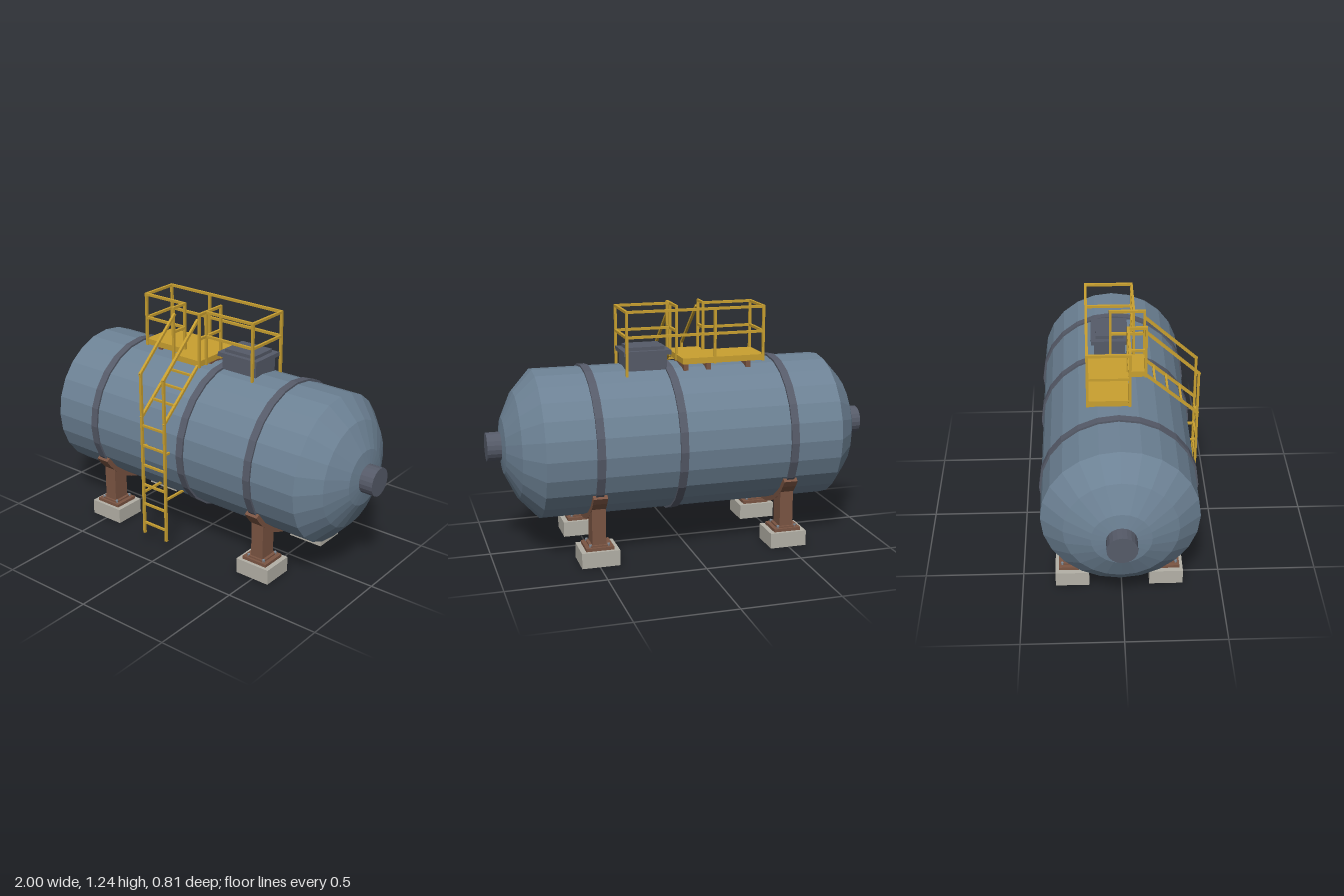
import * as THREE from 'three';

const mat = (name, color) => {
  const m = new THREE.MeshStandardMaterial({ color, flatShading: true });
  m.name = name;
  return m;
};

export function createModel() {
  const steel = mat('blueSteel', 0x6d8295);
  const slate = mat('darkSlate', 0x565b69);
  const yellow = mat('safetyYellow', 0xc9a030);
  const brown = mat('rustBrown', 0x7b5543);
  const concrete = mat('concrete', 0xb4b1a7);
  const bolt = mat('boltSteel', 0x7f8a96);

  const root = new THREE.Group();
  const CY = 0.572, CZ = -0.012, R = 0.377, SIDES = 24;

  const group = (name) => {
    const g = new THREE.Group();
    g.name = name;
    root.add(g);
    return g;
  };
  const add = (parent, name, geo, m) => {
    const mesh = new THREE.Mesh(geo, m);
    mesh.name = name;
    parent.add(mesh);
    return mesh;
  };
  // Box given by its min and max corners
  const block = (parent, name, m, [x0, y0, z0], [x1, y1, z1]) => {
    const b = add(parent, name, new THREE.BoxGeometry(x1 - x0, y1 - y0, z1 - z0), m);
    b.position.set((x0 + x1) / 2, (y0 + y1) / 2, (z0 + z1) / 2);
    return b;
  };
  // Square bar between two points
  const bar = (parent, name, a, b, t = 0.013) => {
    const p = new THREE.Vector3(...a), q = new THREE.Vector3(...b);
    const m = add(parent, name, new THREE.BoxGeometry(t, t, p.distanceTo(q) + t), yellow);
    m.position.copy(p).add(q).multiplyScalar(0.5);
    m.lookAt(q);
    return m;
  };
  // Turned shape lying along the x axis of the tank; profile is [radius, x]
  const turned = (parent, name, profile, m, sides = SIDES) => {
    const geo = new THREE.LatheGeometry(profile.map(([r, x]) => new THREE.Vector2(r, x)), sides);
    geo.rotateZ(-Math.PI / 2);
    const mesh = add(parent, name, geo, m);
    mesh.position.set(0, CY, CZ);
    return mesh;
  };

  // Tank shell with shallow spherical ends
  const tank = group('tank');
  const capR = 0.485, capA = Math.asin(R / capR), cap = [];
  for (let i = 0; i <= 3; i++) {
    const a = (capA * i) / 3;
    cap.push([capR * Math.sin(a), 0.94 - capR + capR * Math.cos(a)]);
  }
  turned(tank, 'shell', [...cap.map(([r, x]) => [r, -x]), ...cap.slice().reverse()], steel);

  // End nozzles
  for (const s of [-1, 1]) {
    const n = add(tank, 'endNozzle', new THREE.CylinderGeometry(0.072, 0.072, 0.09, 20), slate);
    n.rotation.z = Math.PI / 2;
    n.position.set(s * 0.955, CY, CZ);
  }

  // Hoop bands
  for (const x of [-0.5, 0.08, 0.495]) {
    turned(tank, 'band', [[0.37, x - 0.02], [0.387, x - 0.02], [0.387, x + 0.02], [0.37, x + 0.02]], slate);
  }

  // Saddles, legs and footings
  const supports = group('supports');
  for (const x of [-0.498, 0.494]) {
    const arc = new THREE.Shape();
    const half = 1.01, mid = -Math.PI / 2;
    arc.absarc(0, 0, 0.4, mid - half, mid + half, false);
    arc.absarc(0, 0, 0.37, mid + half, mid - half, true);
    const saddle = add(supports, 'saddle',
      new THREE.ExtrudeGeometry(arc, { depth: 0.072, bevelEnabled: false, curveSegments: 10 }), brown);
    saddle.rotation.y = Math.PI / 2;
    saddle.position.set(x - 0.036, CY, CZ);

    for (const s of [-1, 1]) {
      const z = CZ + s * 0.237;
      const slab = (name, m, w, d, y0, y1) =>
        block(supports, name, m, [x - w / 2, y0, z - d / 2], [x + w / 2, y1, z + d / 2]);
      slab('footing', concrete, 0.193, 0.17, 0, 0.08);
      slab('basePlate', brown, 0.142, 0.136, 0.08, 0.096);
      slab('leg', brown, 0.07, 0.09, 0.09, 0.31);
      slab('legCollar', brown, 0.1, 0.112, 0.096, 0.104);
      for (const i of [-1, 1]) for (const j of [-1, 1]) {
        const b = add(supports, 'anchorBolt', new THREE.CylinderGeometry(0.007, 0.007, 0.016, 6), bolt);
        b.position.set(x + i * 0.046, 0.102, z + j * 0.05);
      }
    }
  }

  // Manway hatch on top
  const hatch = group('hatch');
  block(hatch, 'hatchNeck', slate, [0.092, 0.9, -0.118], [0.302, 1.014, 0.04]);
  block(hatch, 'hatchFlange', slate, [0.075, 1.012, -0.134], [0.317, 1.034, 0.056]);
  block(hatch, 'hatchLid', slate, [0.103, 1.034, -0.11], [0.289, 1.051, 0.033]);

  // Platform deck with a landing towards the ladder
  const platform = group('platform');
  block(platform, 'deck', yellow, [-0.41, 0.962, -0.163], [0.022, 0.992, 0.045]);
  block(platform, 'landing', yellow, [-0.15, 0.962, 0.045], [0.022, 0.992, 0.135]);
  for (const x of [-0.33, -0.12, 0]) {
    block(platform, 'deckBeam', brown, [x - 0.012, 0.925, -0.143], [x + 0.012, 0.962, 0.03]);
  }

  // Guard rails: two rails along each run, plus posts
  const rails = group('guardRails');
  const TOP = 1.236, MID = 1.11;
  const runs = [
    [[-0.147, 0.134], [-0.147, 0.045], [-0.404, 0.045], [-0.404, -0.157],
      [0.309, -0.157], [0.309, 0.08], [0.02, 0.08]],
    [[0.02, 0.134], [0.02, -0.037]],
  ];
  for (const run of runs) {
    for (let i = 1; i < run.length; i++) {
      const [x0, z0] = run[i - 1], [x1, z1] = run[i];
      for (const y of [TOP, MID]) bar(rails, 'rail', [x0, y, z0], [x1, y, z1]);
    }
  }
  const posts = [
    [-0.147, 0.134, 0.965], [-0.147, 0.045, 0.965], [-0.404, 0.045, 0.965], [-0.404, -0.157, 0.965],
    [-0.147, -0.157, 0.965], [0.309, -0.157, 0.92], [0.309, 0.08, 0.935], [0.02, 0.08, 0.965],
    [0.02, 0.134, 0.965], [0.02, -0.037, 0.965],
  ];
  for (const [x, z, y] of posts) bar(rails, 'post', [x, y, z], [x, TOP, z]);

  // Ladder: upright stiles, sloped stringers, handrails and wall ties
  const ladder = group('ladder');
  const LX = [-0.138, 0.01], LZ = 0.397;
  for (const x of LX) {
    bar(ladder, 'stile', [x, 0.083, LZ], [x, 0.968, LZ]);
    bar(ladder, 'stringer', [x, 0.738, LZ], [x, 0.962, 0.14]);
    bar(ladder, 'handrail', [x, 0.97, LZ], [x, 1.204, 0.138]);
    bar(ladder, 'wallTie', [x, 0.315, LZ], [x, 0.315, 0.26], 0.011);
    bar(ladder, 'wallTie', [x, 0.57, LZ], [x, 0.57, 0.36], 0.011);
  }
  const rungs = [0.14, 0.25, 0.36, 0.472, 0.582, 0.692].map((y) => [y, LZ]);
  for (const z of [0.315, 0.245, 0.18]) rungs.push([0.738 + (LZ - z) * 0.872, z]);
  for (const [y, z] of rungs) bar(ladder, 'rung', [LX[0], y, z], [LX[1], y, z], 0.011);

  return root;
}
